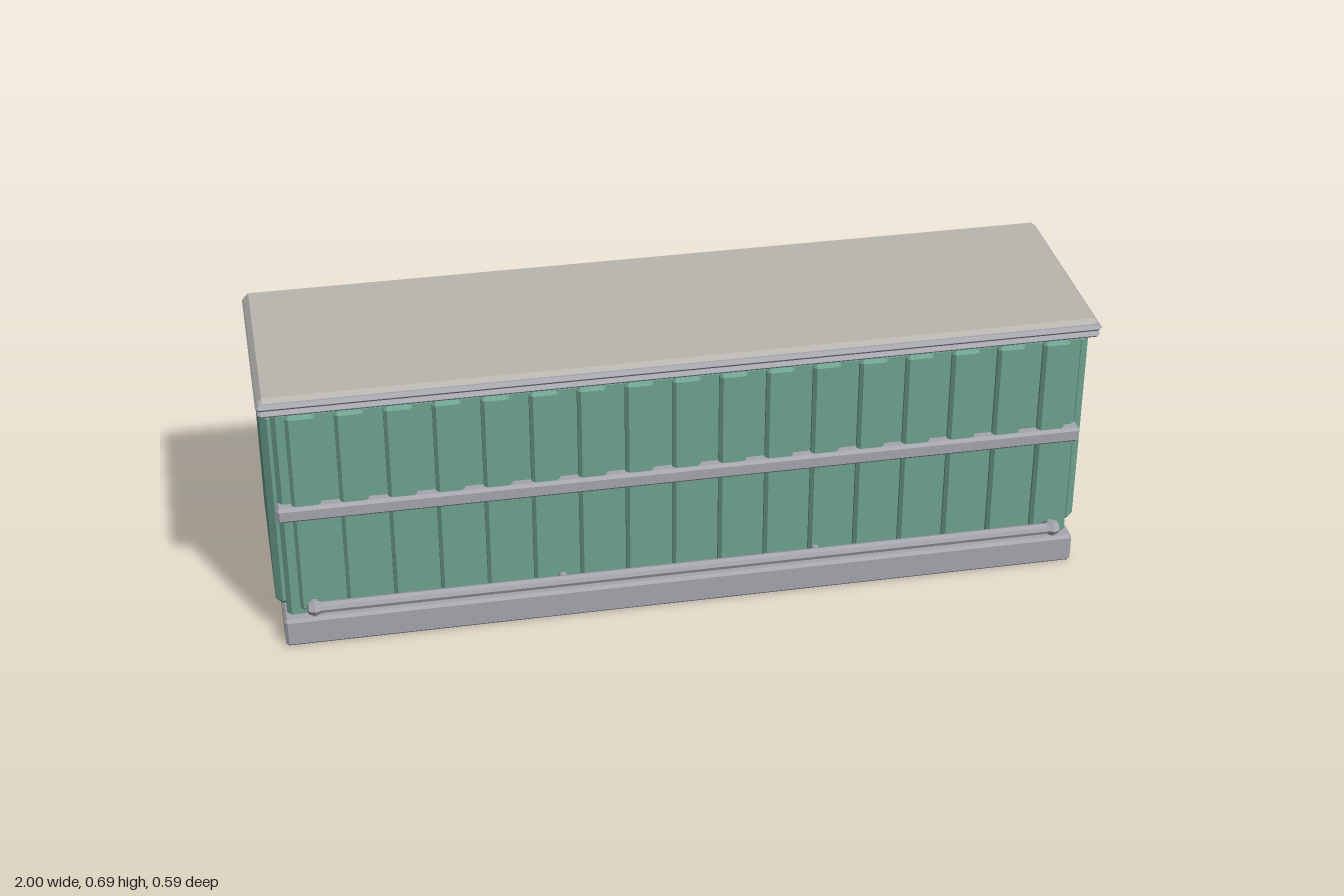
import * as THREE from 'three';
import { ConvexGeometry } from 'three/addons/geometries/ConvexGeometry.js';

const green = new THREE.MeshStandardMaterial({ color: 0x6fa390, flatShading: true });
const metal = new THREE.MeshStandardMaterial({ color: 0xa6a6ae, flatShading: true });
const stone = new THREE.MeshStandardMaterial({ color: 0xb8b6af, flatShading: true });

// Box with chamfered edges, given by its min and max corners and the chamfer on each axis
function chamferBox(name, min, max, chamfer, material) {
  const half = [0, 1, 2].map(i => (max[i] - min[i]) / 2);
  const c = Array.isArray(chamfer) ? chamfer : [chamfer, chamfer, chamfer];
  const points = [];
  for (const sx of [-1, 1]) for (const sy of [-1, 1]) for (const sz of [-1, 1]) {
    const s = [sx, sy, sz];
    for (let face = 0; face < 3; face++) {
      points.push(new THREE.Vector3(...s.map((v, i) => v * (half[i] - (i === face ? 0 : c[i])))));
    }
  }
  const mesh = new THREE.Mesh(new ConvexGeometry(points), material);
  mesh.name = name;
  mesh.position.set(...[0, 1, 2].map(i => (min[i] + max[i]) / 2));
  return mesh;
}

// Straight round bar between two points
function bar(name, a, b, radius, sides) {
  const from = new THREE.Vector3(...a), to = new THREE.Vector3(...b);
  const dir = to.clone().sub(from);
  const mesh = new THREE.Mesh(new THREE.CylinderGeometry(radius, radius, dir.length(), sides), metal);
  mesh.name = name;
  mesh.position.copy(from).add(to).multiplyScalar(0.5);
  mesh.quaternion.setFromUnitVectors(new THREE.Vector3(0, 1, 0), dir.normalize());
  return mesh;
}

export function createModel() {
  const model = new THREE.Group();
  model.name = 'barCounter';

  // Plinth, cabinet and the band around its middle
  model.add(
    chamferBox('plinth', [-0.978, 0, -0.281], [0.978, 0.075, 0.227], 0.007, metal),
    chamferBox('cabinet', [-0.968, 0.062, -0.284], [0.968, 0.638, 0.2], 0.011, green),
    chamferBox('middleBand', [-0.974, 0.35, -0.277], [0.974, 0.389, 0.225], 0.007, metal),
  );

  // Raised panels on both ends
  for (const side of [-1, 1]) {
    const x = [side * 0.955, side * 0.992].sort((a, b) => a - b);
    model.add(chamferBox(side > 0 ? 'leftEndPanel' : 'rightEndPanel',
      [x[0], 0.092, -0.271], [x[1], 0.632, 0.187], 0.016, green));
  }

  // Vertical slats along the front
  const slats = new THREE.Group();
  slats.name = 'frontSlats';
  for (let i = -8; i <= 8; i++) {
    const x = i * 0.1128;
    slats.add(chamferBox('slat', [x - 0.034, 0.092, 0.188], [x + 0.034, 0.632, 0.216], 0.008, green));
  }
  model.add(slats);

  // Counter top: thin lower slab, middle slab and stone surface
  model.add(
    chamferBox('lowerTopSlab', [-0.997, 0.65, -0.287], [0.997, 0.665, 0.243], [0.008, 0.007, 0.008], metal),
    chamferBox('upperTopSlab', [-1, 0.667, -0.288], [1, 0.683, 0.244], [0.008, 0.0075, 0.008], metal),
    chamferBox('counterSurface', [-0.996, 0.666, -0.292], [0.996, 0.693, 0.232], [0.012, 0.012, 0.012], stone),
  );

  // Foot rail with rounded end knobs and bent brackets
  const rail = new THREE.Group();
  rail.name = 'footRail';
  const railY = 0.14, railZ = 0.275;
  rail.add(bar('railTube', [-0.905, railY, railZ], [0.905, railY, railZ], 0.014, 8));
  for (const x of [-0.905, 0.905]) {
    const knob = new THREE.Mesh(new THREE.SphereGeometry(0.02, 6, 4), metal);
    knob.name = 'railKnob';
    knob.rotation.set(Math.PI / 2, 0, Math.PI / 2);
    knob.position.set(x, railY, railZ);
    rail.add(knob);
  }
  for (const x of [-0.905, -0.31, 0.31, 0.905]) {
    rail.add(
      bar('bracketArm', [x, 0.1, 0.205], [x, 0.142, 0.257], 0.009, 8),
      bar('bracketTip', [x, 0.142, 0.252], [x, railY, railZ], 0.009, 8),
    );
  }
  model.add(rail);
  return model;
}
